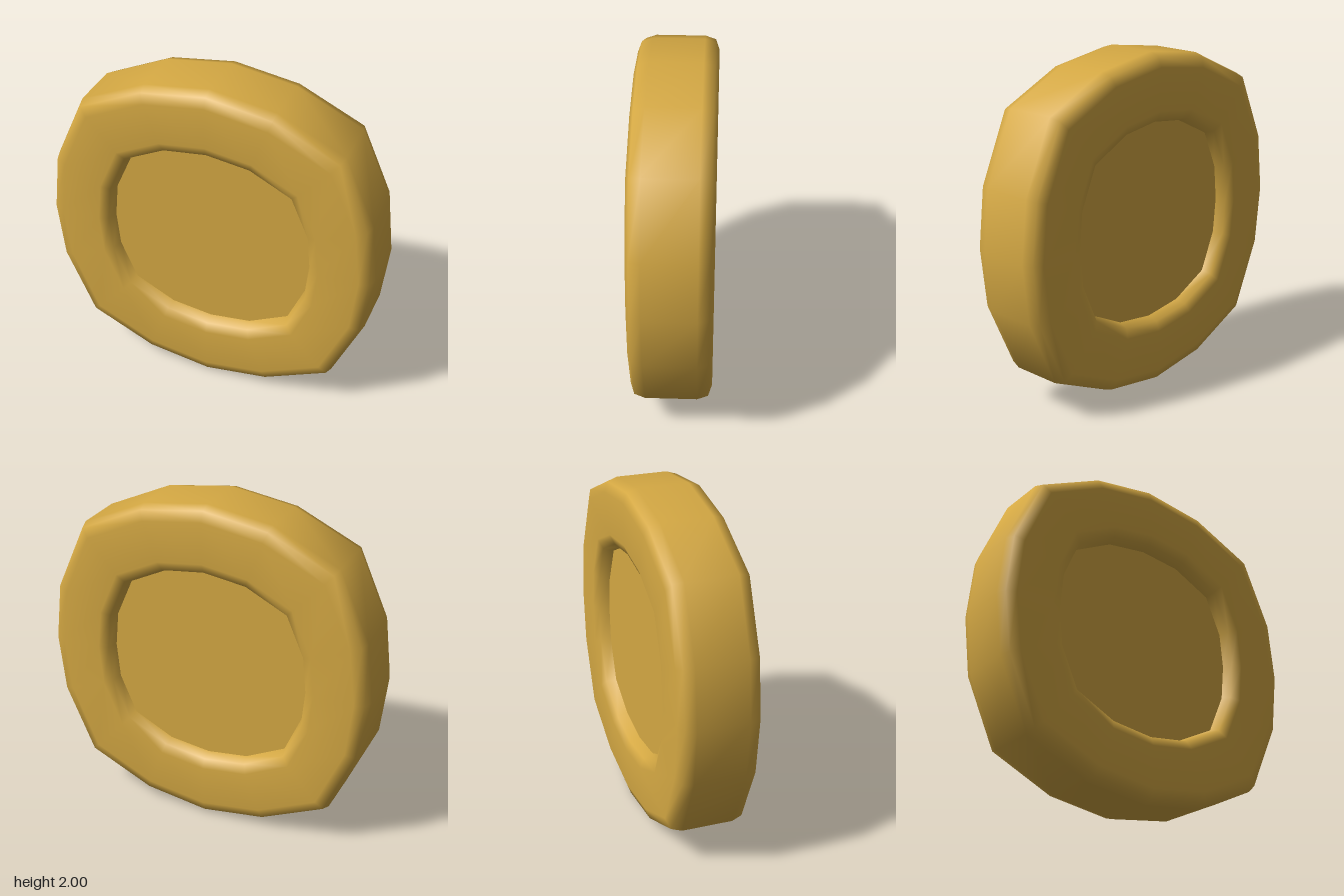
import * as THREE from 'three';

const gold = new THREE.MeshStandardMaterial({ color: 0xd4a843 });
gold.name = 'gold';

// One quarter of a rounded-square outline, mirrored into a full 16-point loop
function outline(quarter) {
  const points = [];
  let ring = quarter.map(([x, y]) => new THREE.Vector2(x, y));
  for (let q = 0; q < 4; q++) {
    const mirrored = q % 2 === 1;
    const part = mirrored ? [...ring].reverse() : ring;
    const sx = q === 0 || q === 3 ? 1 : -1;
    const sy = q < 2 ? 1 : -1;
    part.slice(0, -1).forEach((p) => points.push(new THREE.Vector2(p.x * sx, p.y * sy)));
  }
  return points;
}

const outer = outline([[1, 0], [0.96, 0.355], [0.78, 0.76], [0.39, 0.94], [0, 0.998]]);
const inner = outline([[0.61, 0], [0.59, 0.21], [0.49, 0.44], [0.25, 0.56], [0, 0.593]]);

// Bevelled profile: [blend from inner to outer outline, z]
const half = [[0, 0.15], [0.05, 0.21], [0.19, 0.234], [0.8, 0.234], [0.95, 0.212], [1, 0.15]];
const profile = [...half, ...half.map(([k, z]) => [k, -z]).reverse()];

function ringGeometry() {
  const positions = [];
  const index = [];
  const n = outer.length;
  const m = profile.length;
  for (let j = 0; j < n; j++) {
    for (const [k, z] of profile) {
      const p = inner[j].clone().lerp(outer[j], k);
      positions.push(p.x, p.y, z);
    }
    const next = (j + 1) % n;
    for (let i = 0; i < m - 1; i++) {
      const a = j * m + i;
      const b = next * m + i;
      index.push(a, a + 1, b + 1, a, b + 1, b);
    }
  }
  const geometry = new THREE.BufferGeometry();
  geometry.setAttribute('position', new THREE.Float32BufferAttribute(positions, 3));
  geometry.setIndex(index);
  geometry.computeVertexNormals();
  return geometry;
}

export function createModel() {
  const model = new THREE.Group();
  model.name = 'coin';

  // Raised rim with softened edges
  const rim = new THREE.Mesh(ringGeometry(), gold);
  rim.name = 'rim';
  rim.position.y = 1;
  model.add(rim);

  // Flat recessed faces, front and back
  const faceGeometry = new THREE.ShapeGeometry(new THREE.Shape(inner));
  for (const side of [1, -1]) {
    const face = new THREE.Mesh(faceGeometry, gold);
    face.name = side > 0 ? 'frontFace' : 'backFace';
    face.position.set(0, 1, 0.15 * side);
    if (side < 0) face.rotation.y = Math.PI;
    model.add(face);
  }
  return model;
}
